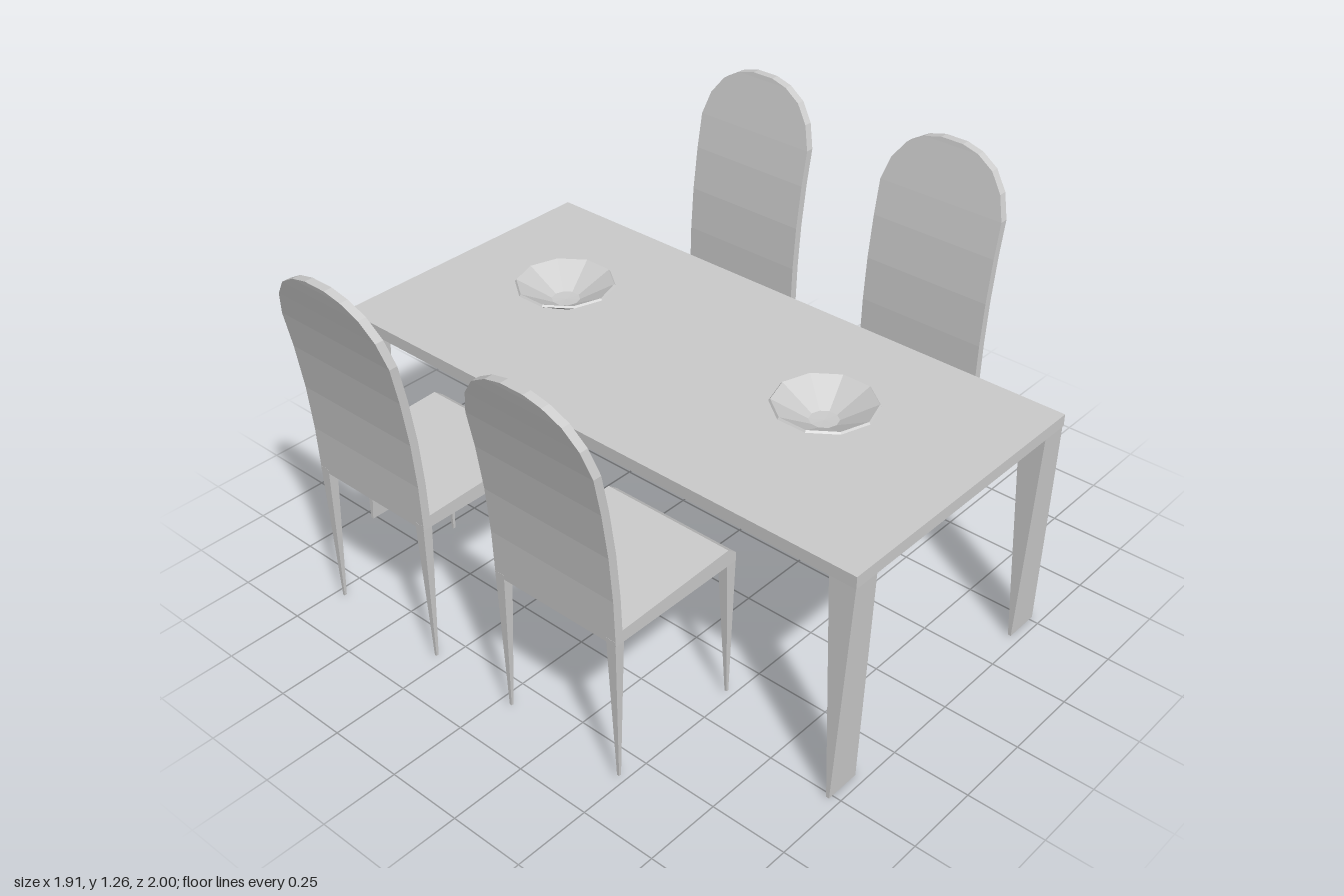
import * as THREE from 'three';

const material = new THREE.MeshStandardMaterial({ color: 0xcccccc, flatShading: true });

function part(name, geometry) {
  const mesh = new THREE.Mesh(geometry, material);
  mesh.name = name;
  return mesh;
}

// Tapered leg between two rectangles, each [x0, x1, z0, z1]
function legGeometry(y0, y1, bottom, top) {
  const g = new THREE.BoxGeometry(1, 1, 1);
  const p = g.attributes.position;
  for (let i = 0; i < p.count; i++) {
    const r = p.getY(i) > 0 ? top : bottom;
    p.setXYZ(i, p.getX(i) > 0 ? r[1] : r[0], p.getY(i) > 0 ? y1 : y0, p.getZ(i) > 0 ? r[3] : r[2]);
  }
  g.computeVertexNormals();
  return g;
}

// Curved backrest with an arched top: rows of [y, x, half width]
function backrestGeometry() {
  const rows = [
    [0.495, 0.838, 0.23], [0.65, 0.843, 0.23], [0.8, 0.855, 0.23], [0.95, 0.876, 0.23],
    [1.07, 0.899, 0.23], [1.15, 0.917, 0.205], [1.21, 0.931, 0.16], [1.245, 0.939, 0.1], [1.26, 0.942, 0.04],
  ];
  const n = rows.length - 1;
  const g = new THREE.BoxGeometry(1, 1, 1, 1, n, 1);
  const p = g.attributes.position;
  for (let i = 0; i < p.count; i++) {
    const [y, x, w] = rows[Math.round((p.getY(i) + 0.5) * n)];
    p.setXYZ(i, x + p.getX(i) * 0.028, y, p.getZ(i) * 2 * w);
  }
  g.computeVertexNormals();
  return g;
}

// Seat slab with a sloped front edge
function seatGeometry() {
  const shape = new THREE.Shape([
    [0.362, 0.495], [0.84, 0.495], [0.84, 0.535], [0.395, 0.55], [0.362, 0.525],
  ].map(([x, y]) => new THREE.Vector2(x, y)));
  return new THREE.ExtrudeGeometry(shape, { depth: 0.46, bevelEnabled: false }).translate(0, 0, -0.23);
}

// Chair on the +x side, facing the table
function createChair() {
  const chair = new THREE.Group();
  chair.name = 'chair';
  chair.add(part('seat', seatGeometry()), part('backrest', backrestGeometry()));
  for (const s of [-1, 1]) {
    const zTop = s > 0 ? [0.195, 0.23] : [-0.23, -0.195];
    const zTip = s > 0 ? [0.212, 0.22] : [-0.22, -0.212];
    chair.add(part('frontLeg', legGeometry(0.01, 0.51, [0.374, 0.382, ...zTip], [0.362, 0.4, ...zTop])));
    chair.add(part('backLeg', legGeometry(0.01, 0.51, [0.836, 0.844, ...zTip], [0.82, 0.853, ...zTop])));
  }
  return chair;
}

function createTable() {
  const table = new THREE.Group();
  table.name = 'table';
  table.add(part('tableTop', new THREE.BoxGeometry(0.985, 0.04, 2).translate(0, 0.765, 0)));
  // Legs spread in x and narrow to a blade in z towards the floor
  for (const sx of [-1, 1]) {
    for (const sz of [-1, 1]) {
      const range = (s, a, b) => (s > 0 ? [a, b] : [-b, -a]);
      table.add(part('tableLeg', legGeometry(0, 0.75,
        [...range(sx, 0.395, 0.515), ...range(sz, 0.96, 0.97)],
        [...range(sx, 0.4, 0.49), ...range(sz, 0.91, 0.998)])));
    }
  }
  return table;
}

export function createModel() {
  const model = new THREE.Group();
  model.name = 'diningSet';
  model.add(createTable());

  // Two chairs on each long side
  for (const z of [-0.495, 0.264]) {
    for (const turn of [0, Math.PI]) {
      const chair = createChair();
      chair.rotation.y = turn;
      chair.position.z = z;
      model.add(chair);
    }
  }

  // Faceted bowls on the table
  const profile = [[0, 0.786], [0.05, 0.786], [0.16, 0.852], [0.155, 0.858], [0.045, 0.798], [0, 0.796]]
    .map(([r, y]) => new THREE.Vector2(r, y));
  for (const z of [-0.52, 0.51]) {
    const bowl = part('bowl', new THREE.LatheGeometry(profile, 10));
    bowl.position.z = z;
    model.add(bowl);
  }
  return model;
}
